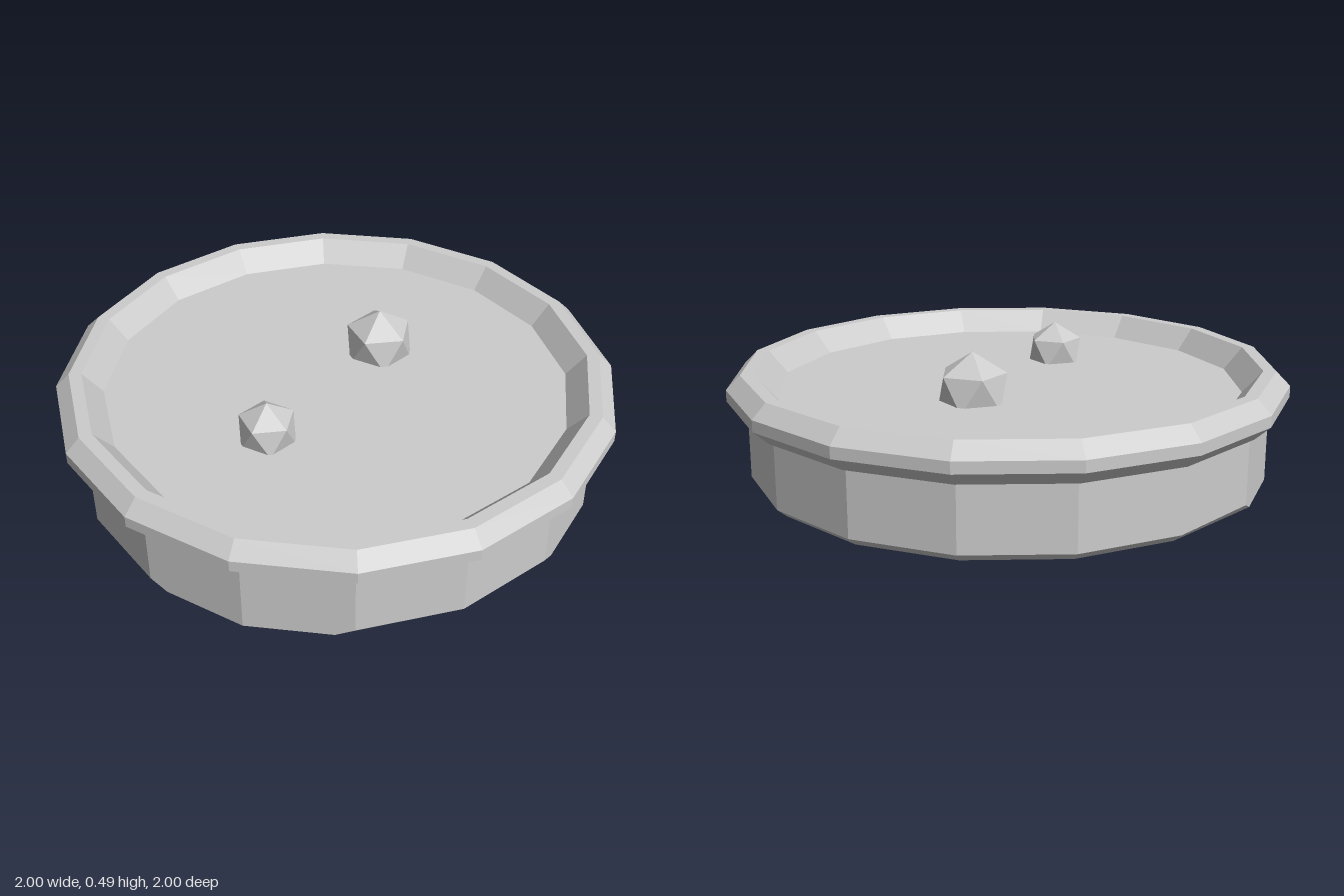
import * as THREE from 'three';

const SIDES = 16;
const STEP = (Math.PI * 2) / SIDES;

// Point on a circle around the y axis; angle 0 faces +z
const polar = (r, i, y) => new THREE.Vector3(r * Math.sin(i * STEP), y, r * Math.cos(i * STEP));

// Sixteen-sided body with a partly chamfered foot and two grip recesses
function bodyGeometry() {
  const plain = new Set([1, 2, 9, 10, 13, 14]); // sides without a chamfer
  const grips = new Set([2, 10]);               // sides with a recess
  const R = 0.93, TOP = 0.26, CHAMFER = 0.03;
  const pos = [];
  const tri = (...pts) => pts.forEach((p) => pos.push(p.x, p.y, p.z));
  const quad = (a, b, c, d) => { tri(a, b, c); tri(a, c, d); };

  // Foot corner: depends on whether the sides next to it are chamfered
  const foot = (i) => {
    const before = plain.has((i + SIDES - 1) % SIDES);
    const after = plain.has(i % SIDES);
    if (before && after) return polar(R, i, 0);
    if (!before && !after) return polar(0.895, i, 0);
    return polar(R, i, 0).lerp(polar(R, after ? i + 1 : i - 1, 0), 0.18);
  };

  const centre = new THREE.Vector3();
  for (let i = 0; i < SIDES; i++) {
    const [b0, b1] = [foot(i), foot(i + 1)];
    const [m0, m1] = [polar(R, i, CHAMFER), polar(R, i + 1, CHAMFER)];
    const [t0, t1] = [polar(R, i, TOP), polar(R, i + 1, TOP)];
    tri(centre, b1, b0);
    if (!grips.has(i)) {
      quad(b0, b1, m1, m0);
      quad(m0, m1, t1, t0);
      continue;
    }
    // Recess: inset panel with sloping sides and sill
    const inward = polar(-0.04, i + 0.5, 0);
    const along = t1.clone().sub(t0).setLength(0.03);
    const it0 = t0.clone().add(along).add(inward);
    const it1 = t1.clone().sub(along).add(inward);
    const ib0 = it0.clone().setY(0.05);
    const ib1 = it1.clone().setY(0.05);
    quad(ib0, ib1, it1, it0);
    quad(b0, b1, ib1, ib0);
    quad(m0, ib0, it0, t0);
    tri(b0, ib0, m0);
    quad(ib1, m1, t1, it1);
    tri(b1, m1, ib1);
  }
  const geo = new THREE.BufferGeometry();
  geo.setAttribute('position', new THREE.Float32BufferAttribute(pos, 3));
  geo.computeVertexNormals();
  return geo;
}

// Icosahedron standing on a corner, with a ring corner towards +x
function stoneGeometry(radius) {
  const golden = (1 + Math.sqrt(5)) / 2;
  return new THREE.IcosahedronGeometry(radius, 0)
    .rotateX(-Math.atan(golden))
    .rotateY(Math.PI / 2);
}

export function createModel() {
  const group = new THREE.Group();
  const grey = new THREE.MeshStandardMaterial({ color: 0xcccccc, flatShading: true });
  grey.name = 'light grey';

  const add = (name, geometry, x = 0, y = 0, z = 0) => {
    const mesh = new THREE.Mesh(geometry, grey);
    mesh.name = name;
    mesh.position.set(x, y, z);
    group.add(mesh);
  };

  add('body', bodyGeometry());

  // Bevelled rim running down into the sunken floor
  const profile = [
    [0.84, 0.26], [0.945, 0.26], [1, 0.31], [1, 0.35],
    [0.95, 0.4], [0.905, 0.4], [0.835, 0.32], [0, 0.32],
  ].map(([r, y]) => new THREE.Vector2(r, y));
  add('rimAndFloor', new THREE.LatheGeometry(profile, SIDES));

  // Stones half sunk in the floor
  add('largeStone', stoneGeometry(0.134), 0.235, 0.356, -0.12);
  add('smallStone', stoneGeometry(0.11), -0.35, 0.355, 0.18);

  return group;
}
